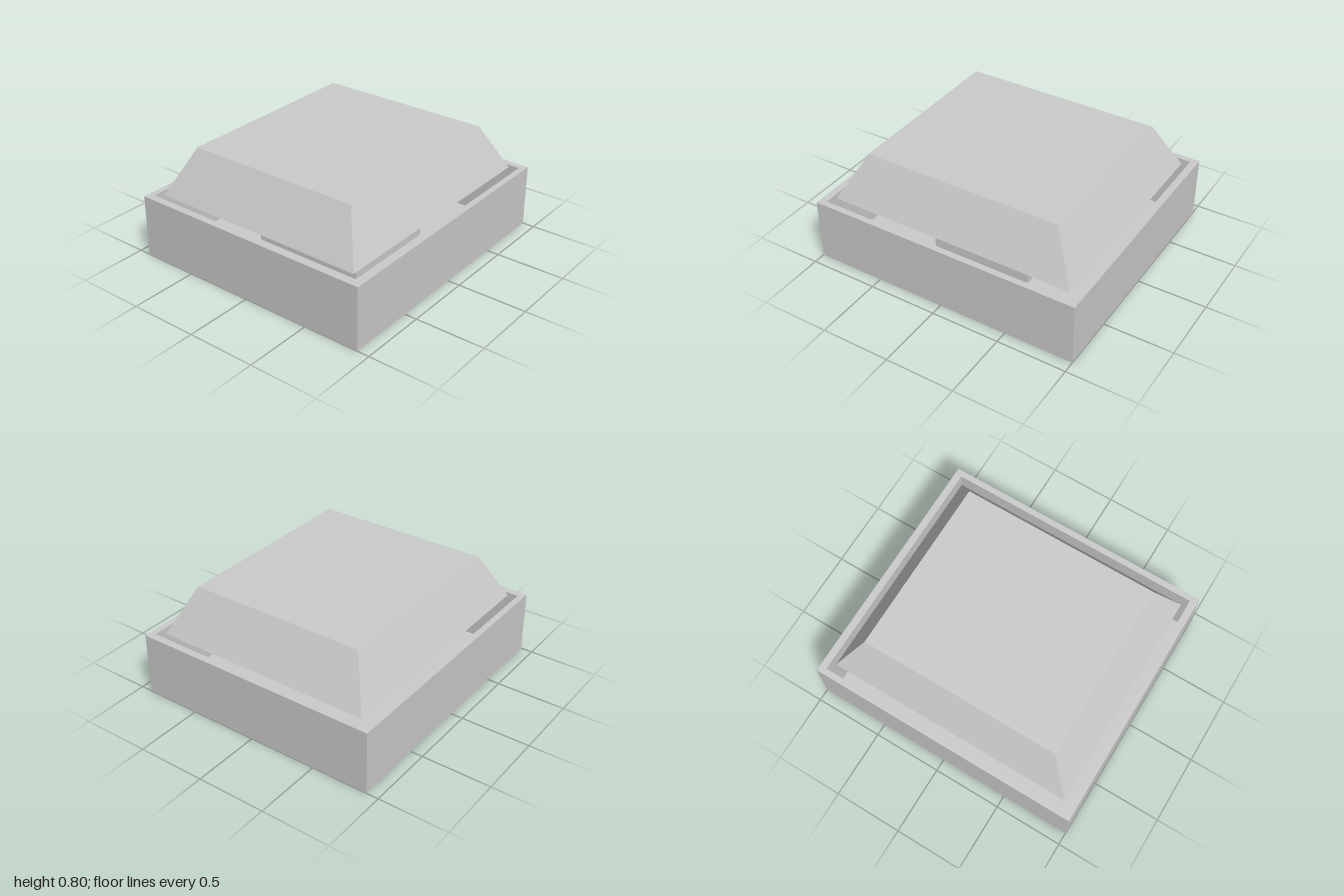
import * as THREE from 'three';

const material = new THREE.MeshStandardMaterial({ color: 0xcccccc, flatShading: true });

function part(name, geometry, y) {
  const mesh = new THREE.Mesh(geometry, material);
  mesh.name = name;
  mesh.position.y = y;
  return mesh;
}

// Corners of a centred rectangle with half sizes a and b
const rectangle = (a, b) => [[-a, -b], [a, -b], [a, b], [-a, b]].map(([x, y]) => new THREE.Vector2(x, y));

export function createModel() {
  const group = new THREE.Group();
  group.name = 'pushButton';

  // Open housing: four thin walls around a shallow floor
  const outline = new THREE.Shape(rectangle(1, 0.912));
  outline.holes.push(new THREE.Path(rectangle(0.948, 0.868)));
  const walls = new THREE.ExtrudeGeometry(outline, { depth: 0.458, bevelEnabled: false });
  walls.rotateX(-Math.PI / 2);
  group.add(part('housingWalls', walls, 0));
  group.add(part('housingFloor', new THREE.BoxGeometry(1.896, 0.01, 1.736), 0.005));

  // Central stem carrying the cap
  group.add(part('stem', new THREE.BoxGeometry(0.76, 0.453, 0.85), 0.2365));

  // Tapered cap: a four-sided frustum turned square and stretched
  const cap = new THREE.CylinderGeometry(0.802 * Math.SQRT2, Math.SQRT2, 0.338, 4);
  cap.rotateY(Math.PI / 4);
  cap.scale(0.907, 1, 0.809);
  group.add(part('cap', cap, 0.632));

  return group;
}
